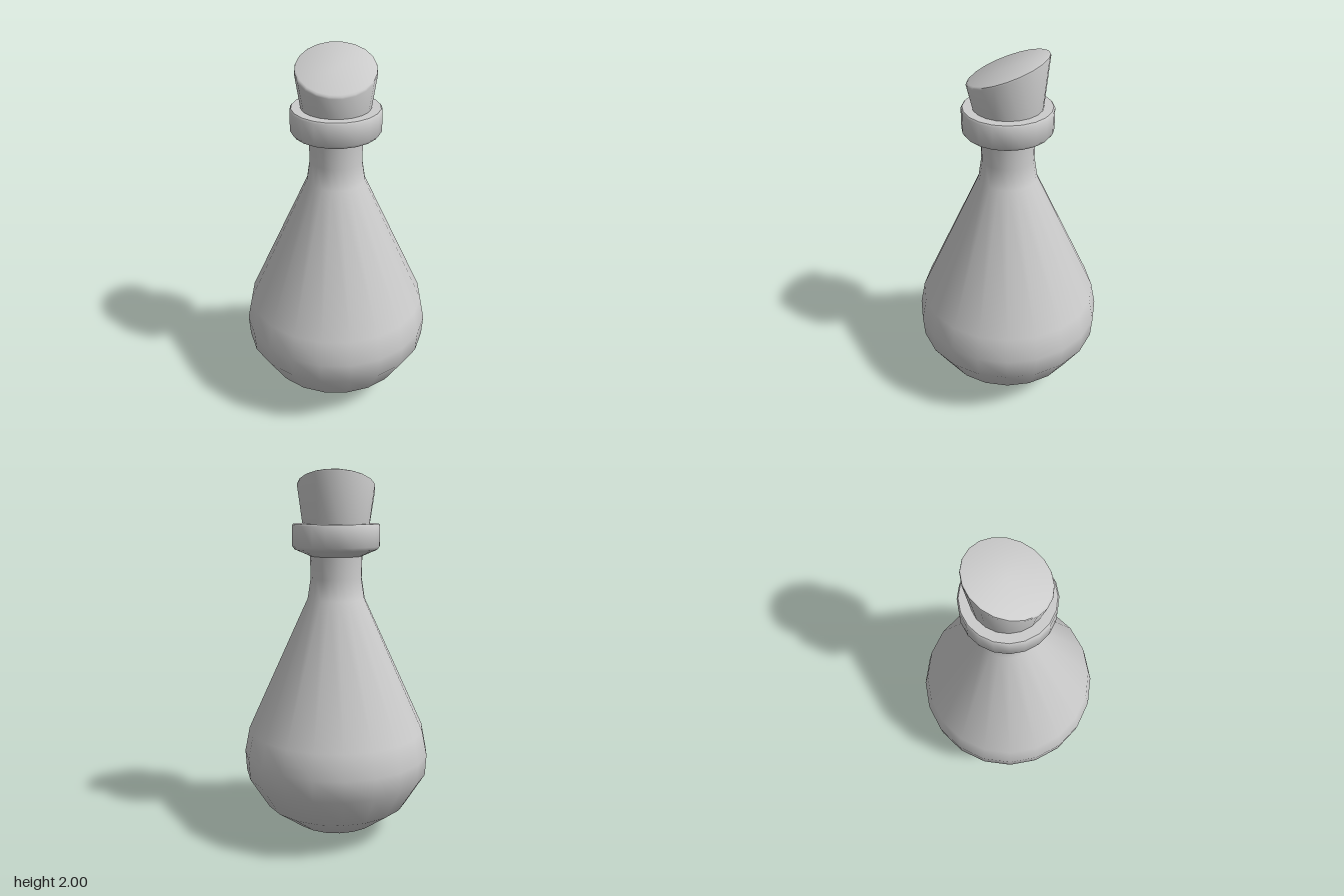
import * as THREE from 'three';
import { toCreasedNormals } from 'three/addons/utils/BufferGeometryUtils.js';

const SIDES = 20;
const material = new THREE.MeshStandardMaterial({ color: 0xcccccc });

// Turned shape from [radius, height] pairs, listed bottom to top
function turned(profile) {
  return new THREE.LatheGeometry(profile.map(([r, y]) => new THREE.Vector2(r, y)), SIDES);
}

function addPart(group, name, geometry) {
  const mesh = new THREE.Mesh(geometry, material);
  mesh.name = name;
  group.add(mesh);
}

export function createModel() {
  const group = new THREE.Group();
  group.name = 'corkedFlask';

  // Round belly, long shoulder and narrow neck
  addPart(group, 'flaskBody', turned([
    [0, 0], [0.1, 0.014], [0.24, 0.068], [0.4, 0.188], [0.505, 0.36],
    [0.512, 0.475], [0.485, 0.61], [0.155, 1.33], [0.138, 1.44], [0.141, 1.57],
  ]));

  // Collar around the mouth, with softened edges
  addPart(group, 'neckCollar', toCreasedNormals(turned([
    [0.135, 1.555], [0.145, 1.56], [0.222, 1.593], [0.235, 1.61], [0.235, 1.718],
    [0.228, 1.727], [0.165, 1.727], [0.155, 1.7],
  ]), 0.85));

  // Tapered stopper, its top cut at a slant falling towards +x and +z
  const stopper = turned([
    [0, 1.6], [0.167, 1.6], [0.18, 1.73], [0.206, 1.913], [0.204, 1.922], [0.196, 1.927], [0, 1.927],
  ]);
  const p = stopper.attributes.position;
  for (let i = 0; i < p.count; i++) {
    if (p.getY(i) > 1.8) p.setY(i, p.getY(i) - 0.265 * (p.getX(i) + p.getZ(i)));
  }
  addPart(group, 'stopper', toCreasedNormals(stopper, 0.7));

  return group;
}
